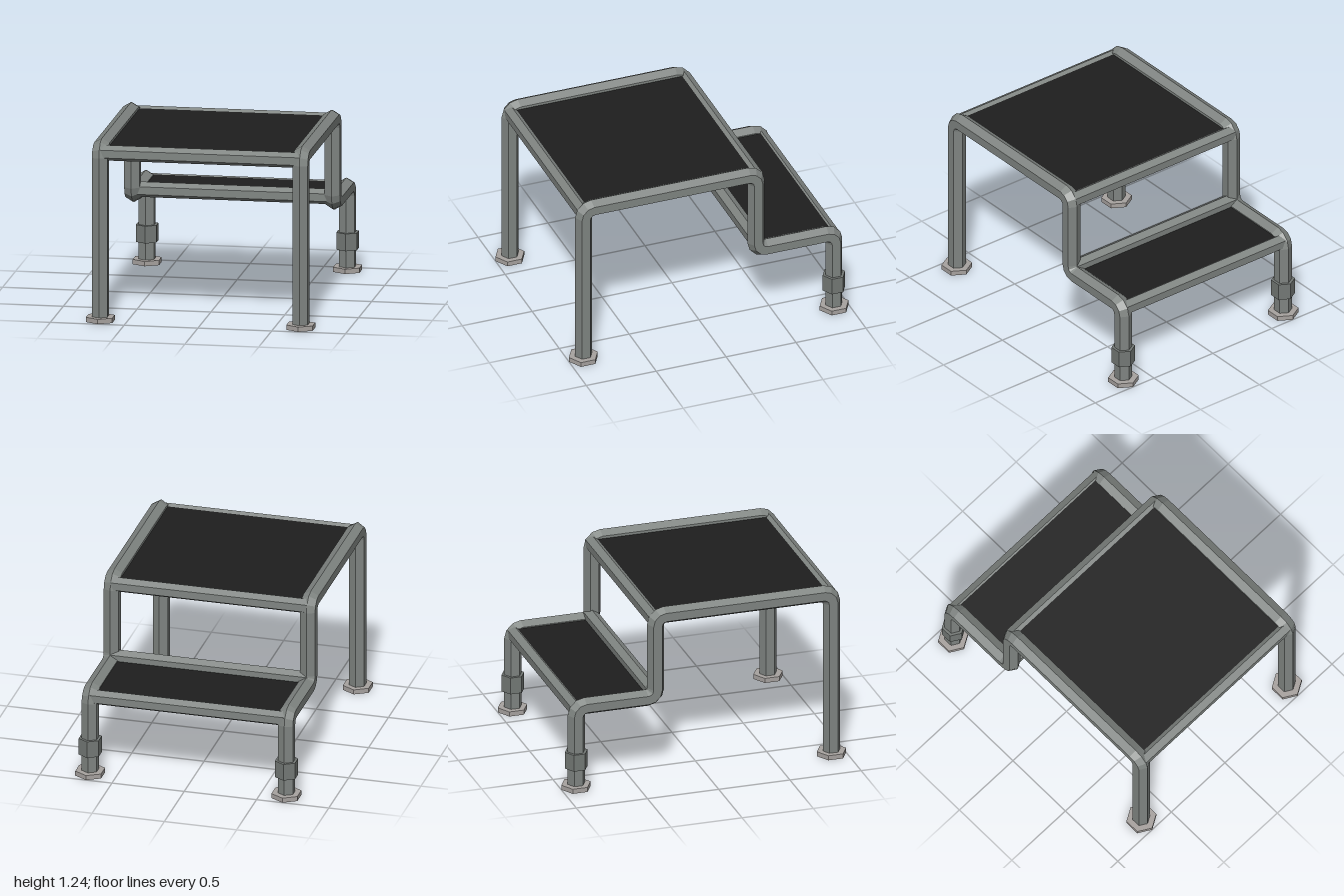
import * as THREE from 'three';

const frameMat = new THREE.MeshStandardMaterial({ color: 0x808582 });
frameMat.name = 'grey metal';
const collarMat = new THREE.MeshStandardMaterial({ color: 0x747976 });
collarMat.name = 'dark grey collar';
const footMat = new THREE.MeshStandardMaterial({ color: 0xa8a3a0 });
footMat.name = 'pale rubber';
const deckMat = new THREE.MeshStandardMaterial({ color: 0x1e1e1e });
deckMat.name = 'black tread';

const X = 0.679, R = 0.06;

// Faceted copy of a geometry
function flat(geo) {
  const g = geo.index ? geo.toNonIndexed() : geo;
  g.computeVertexNormals();
  return g;
}

function add(group, name, geo, mat, x, y, z) {
  const mesh = new THREE.Mesh(flat(geo), mat);
  mesh.name = name;
  mesh.position.set(x, y, z);
  group.add(mesh);
}

// Rounds the inner corners of a (z, y) path
function roundPath(corners, radius, steps) {
  const out = [corners[0]];
  for (let i = 1; i < corners.length - 1; i++) {
    const c = corners[i];
    const u = corners[i - 1].clone().sub(c).normalize().multiplyScalar(radius);
    const v = corners[i + 1].clone().sub(c).normalize().multiplyScalar(radius);
    for (let k = 0; k <= steps; k++) {
      const a = (k / steps) * Math.PI / 2;
      out.push(c.clone().addScaledVector(u, 1 - Math.sin(a)).addScaledVector(v, 1 - Math.cos(a)));
    }
  }
  out.push(corners[corners.length - 1]);
  return out;
}

// Hexagonal tube swept along a (z, y) path with mitred joints
function hexTube(path, r) {
  const pos = [], idx = [], n = path.length;
  for (let i = 0; i < n; i++) {
    const p = path[i];
    const d0 = p.clone().sub(path[Math.max(i - 1, 0)]).normalize();
    const d1 = path[Math.min(i + 1, n - 1)].clone().sub(p).normalize();
    const t = d0.clone().add(d1).normalize();
    const miter = 1 / t.dot(i < n - 1 ? d1 : d0);
    for (let j = 0; j < 6; j++) {
      const a = j * Math.PI / 3, c = Math.cos(a) * r * miter;
      pos.push(Math.sin(a) * r, p.y - t.x * c, p.x + t.y * c);
      if (i < n - 1) {
        const k = i * 6 + j, l = i * 6 + (j + 1) % 6;
        idx.push(k, l, k + 6, l, l + 6, k + 6);
      }
    }
  }
  const g = new THREE.BufferGeometry();
  g.setAttribute('position', new THREE.Float32BufferAttribute(pos, 3));
  g.setIndex(idx);
  return g;
}

export function createModel() {
  const model = new THREE.Group();
  model.name = 'stepStool';

  // Bent side frames with feet and rear collars
  const corners = [[0.896, 0.02], [0.896, 1.176], [-0.338, 1.176], [-0.338, 0.589], [-0.895, 0.589], [-0.895, 0.02]]
    .map(([z, y]) => new THREE.Vector2(z, y));
  const tube = hexTube(roundPath(corners, 0.062, 3), R);
  const footProfile = [[0, 0.024], [0.06, 0.024], [0.098, 0], [0.103, 0], [0.103, 0.033], [0, 0.033]]
    .map(([x, y]) => new THREE.Vector2(x, y));
  for (const [side, s] of [['left', 1], ['right', -1]]) {
    add(model, side + 'Frame', tube, frameMat, s * X, 0, 0);
    for (const [end, z] of [['Front', 0.897], ['Rear', -0.897]]) {
      add(model, side + end + 'Foot', new THREE.LatheGeometry(footProfile, 6), footMat, s * X, 0, z);
    }
    add(model, side + 'Collar', new THREE.CylinderGeometry(0.08, 0.08, 0.118, 6), collarMat, s * X, 0.21, -0.895);
  }

  // Hexagonal crossbars, point up
  const bars = [
    ['topFrontBar', 1.15, 0.893], ['topRearBar', 1.15, -0.341],
    ['stepFrontBar', 0.626, -0.356], ['stepRearBar', 0.566, -0.888],
  ];
  for (const [name, y, z] of bars) {
    const g = new THREE.CylinderGeometry(0.0525, 0.0525, 2 * X, 6);
    g.rotateZ(Math.PI / 2).rotateX(Math.PI / 2);
    add(model, name, g, frameMat, 0, y, z);
  }

  // Treads
  const treads = [['topTread', 1.178, 0.88, -0.33], ['stepTread', 0.602, -0.36, -0.884]];
  for (const [name, y, z0, z1] of treads) {
    add(model, name, new THREE.BoxGeometry(1.27, 0.02, z0 - z1), deckMat, 0, y, (z0 + z1) / 2);
  }
  return model;
}
